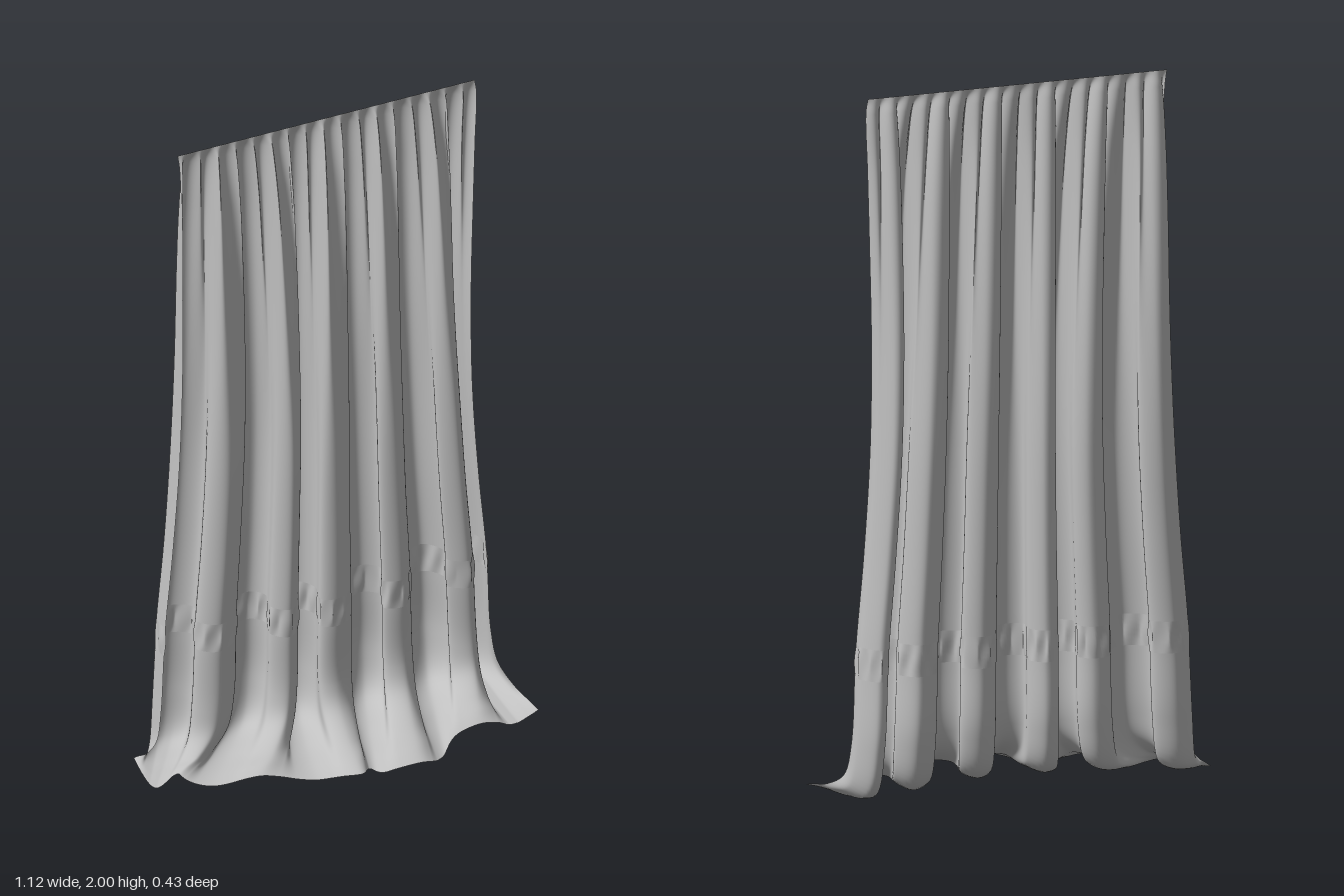
import * as THREE from 'three';

// Pleat outline seen from above, [x, z], left edge to right edge
const pleats = [
  [-.45, -.10], [-.445, -.17], [-.39, -.205], [-.34, -.17], [-.36, -.10], [-.31, -.06], [-.25, -.10],
  [-.23, -.16], [-.18, -.175], [-.15, -.14], [-.16, -.08], [-.12, -.045], [-.08, -.09], [-.09, -.15],
  [-.05, -.165], [-.02, -.12], [-.03, -.06], [.01, -.04], [.06, -.07], [.08, -.14], [.13, -.165],
  [.17, -.13], [.15, -.07], [.20, -.05], [.24, -.10], [.25, -.16], [.31, -.19], [.35, -.14],
  [.34, -.09], [.39, -.06], [.42, -.12], [.40, -.19], [.43, -.205], [.46, -.15], [.455, -.10],
];
// Hem outline lying on the floor, [x, z]
const hem = [
  [-.56, -.15], [-.56, -.015], [-.495, -.02], [-.47, .01], [-.40, .06], [-.30, .09], [-.20, .12],
  [-.11, .165], [-.03, .205], [.015, .165], [.05, .205], [.16, .218], [.22, .19], [.30, .12],
  [.42, .11], [.48, .115], [.555, .105],
];
const spline = pts => new THREE.SplineCurve(pts.map(p => new THREE.Vector2(...p)));
const pleatCurve = spline(pleats), hemCurve = spline(hem);

// Hanging rows: height, pleat depth (0 flat - 1 full), width scale, gather ripple
const rows = [
  [2.0, 0, 1, 0], [1.96, .1, 1, .012], [1.8, .4, .97, .014], [1.6, .62, .965, .012],
  [1.3, .85, .965, .007], [1.0, 1, .985, .002], [.7, 1, 1.03, 0], [.455, 1, 1.08, 0],
  [.365, 1, 1.09, 0], [.18, 1, 1.11, 0],
];
// Floor rows: lerp towards the hem, base height, extra height on the forward pleats
const floorRows = [[.12, .04, .45], [.5, .012, .3], [.8, .005, .25], [1, .003, .18]];
const KNOTS = rows.length + floorRows.length - 1;

// One strand of cloth from the heading down to the hem
function strand(u) {
  const p = pleatCurve.getPoint(u), h = hemCurve.getPoint(u);
  const flatX = -.44 + .905 * u;
  const wave = Math.sin(u * Math.PI * 34), side = Math.cos(u * Math.PI * 34);
  const pts = rows.map(([y, depth, width, ripple]) => new THREE.Vector3(
    THREE.MathUtils.lerp(flatX, p.x * width, depth) + side * ripple * .5,
    y,
    THREE.MathUtils.lerp(-.12, p.y, depth) + wave * ripple));
  for (const [t, base, lift] of floorRows) pts.push(new THREE.Vector3(
    THREE.MathUtils.lerp(p.x * 1.12, h.x, t),
    base + lift * Math.max(0, p.y + .2),
    THREE.MathUtils.lerp(p.y, h.y, t)));
  return new THREE.CatmullRomCurve3(pts);
}

// Cloth between two knot rows, optionally puckered along its length
function cloth(from, to, nu, nv, pucker = 0) {
  const pos = [], index = [], p = new THREE.Vector3();
  for (let i = 0; i <= nu; i++) {
    const u = i / nu, curve = strand(u);
    for (let j = 0; j <= nv; j++) {
      curve.getPoint((from + (to - from) * j / nv) / KNOTS, p);
      const swell = pucker * Math.sin(Math.PI * j / nv);
      pos.push(p.x + swell * Math.cos(u * 310), Math.max(0, p.y), p.z + swell * Math.sin(u * 260));
      if (i < nu && j < nv) {
        const a = i * (nv + 1) + j, b = a + nv + 1;
        index.push(a, a + 1, b, b, a + 1, b + 1);
      }
    }
  }
  const g = new THREE.BufferGeometry();
  g.setAttribute('position', new THREE.Float32BufferAttribute(pos, 3));
  g.setIndex(index);
  g.computeVertexNormals();
  return g;
}

export function createModel() {
  const group = new THREE.Group();
  group.name = 'curtain';
  const fabric = new THREE.MeshStandardMaterial({ color: 0xc0c0c0, side: THREE.DoubleSide });
  fabric.name = 'grey fabric';
  const add = (name, geometry) => {
    const mesh = new THREE.Mesh(geometry, fabric);
    mesh.name = name;
    group.add(mesh);
  };
  add('hangingDrape', cloth(0, 7, 420, 48));
  add('gatheredBand', cloth(7, 8, 420, 6, .004));
  add('floorPuddle', cloth(8, KNOTS, 420, 36));
  return group;
}
